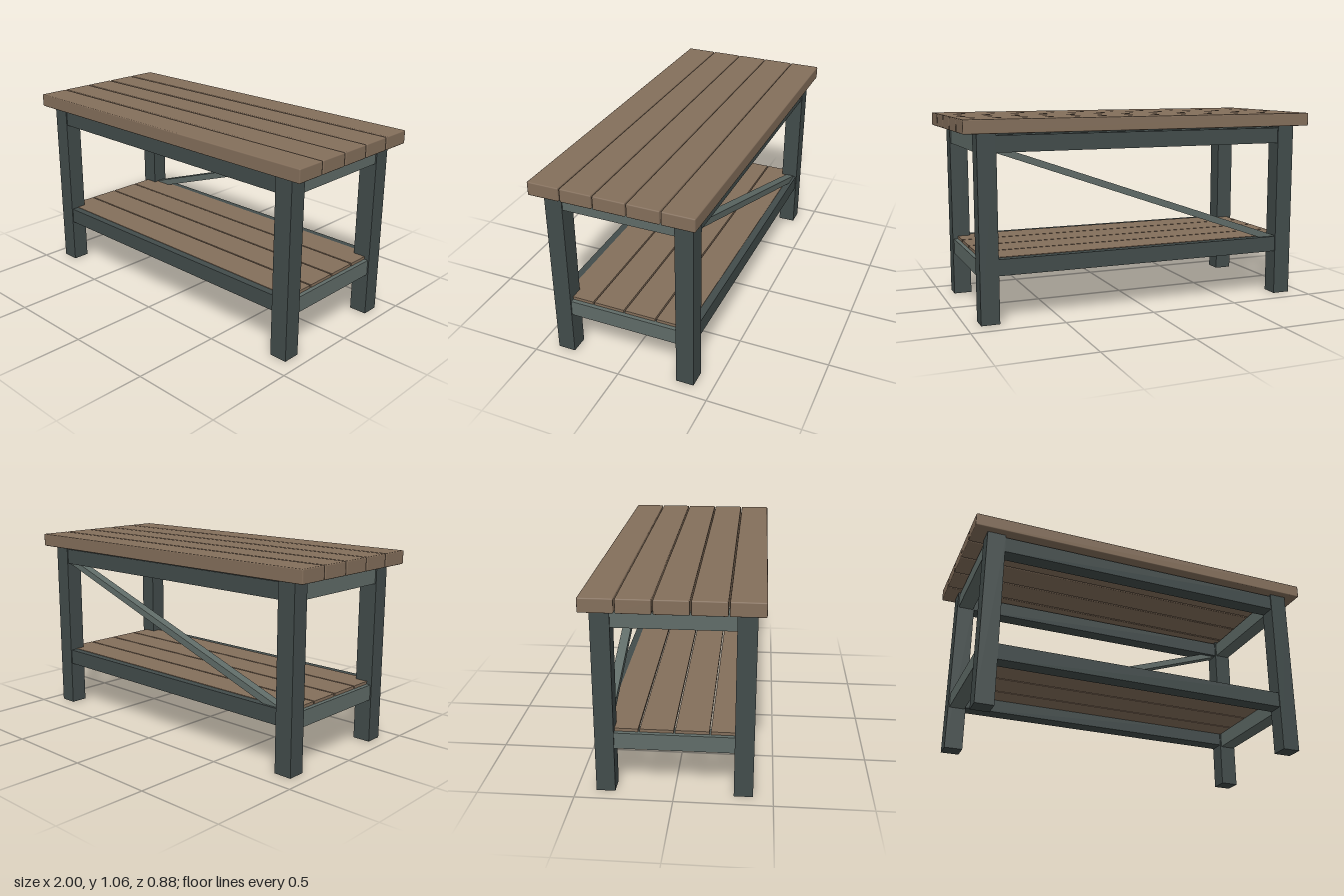
import * as THREE from 'three';
import { RoundedBoxGeometry } from 'three/addons/geometries/RoundedBoxGeometry.js';

export function createModel() {
  const material = (name, color) => {
    const m = new THREE.MeshStandardMaterial({ color });
    m.name = name;
    return m;
  };
  const wood = material('brown wood', 0x846f5b);
  const dark = material('dark slate frame', 0x424c4b);
  const light = material('light slate rails', 0x606c68);

  const table = new THREE.Group();
  table.name = 'plankTable';

  const add = (name, geometry, mat, x, y, z) => {
    const mesh = new THREE.Mesh(geometry, mat);
    mesh.name = name;
    mesh.position.set(x, y, z);
    table.add(mesh);
    return mesh;
  };
  const box = (w, h, d) => new THREE.BoxGeometry(w, h, d);

  // Five thick top planks with softened edges
  for (let i = -2; i <= 2; i++) {
    add('topPlank', new RoundedBoxGeometry(2, 0.073, 0.171, 1, 0.006), wood, 0, 1.0225, i * 0.1767);
  }

  // Four square legs
  for (const x of [-0.875, 0.875]) {
    for (const z of [-0.35, 0.35]) {
      add('leg', box(0.1, 0.987, 0.097), dark, x, 0.4935, z);
    }
  }

  // Long rails, front and back
  for (const z of [-0.35, 0.35]) {
    add('upperLongRail', box(1.65, 0.087, 0.086), dark, 0, 0.9315, z);
    add('lowerLongRail', box(1.65, 0.087, 0.086), dark, 0, 0.2965, z);
  }

  // Short rails at both ends
  for (const x of [-0.875, 0.875]) {
    add('upperSideRail', box(0.086, 0.086, 0.604), light, x, 0.93, 0);
    add('lowerSideRail', box(0.086, 0.086, 0.604), light, x, 0.284, 0);
  }

  // Four thin shelf planks resting on the lower side rails
  for (let i = 0; i < 4; i++) {
    add('shelfPlank', box(1.79, 0.016, 0.17), wood, 0, 0.335, (i - 1.5) * 0.178);
  }

  // Diagonal back brace, its ends cut to fit the legs and rails
  const shape = new THREE.Shape([
    [-0.825, 0.34], [-0.725, 0.34], [0.825, 0.853],
    [0.825, 0.888], [0.725, 0.888], [-0.825, 0.345],
  ].map(([x, y]) => new THREE.Vector2(x, y)));
  const brace = new THREE.ExtrudeGeometry(shape, { depth: 0.05, bevelEnabled: false });
  // Keep both long edges parallel
  const slope = 0.548 / 1.55;
  const p = brace.attributes.position;
  for (let i = 0; i < p.count; i++) {
    if (Math.abs(p.getY(i) - 0.853) < 0.001) p.setY(i, 0.34 + 1.55 * slope - 0.002);
  }
  brace.computeVertexNormals();
  add('backBrace', brace, light, 0, 0, -0.378);

  return table;
}
